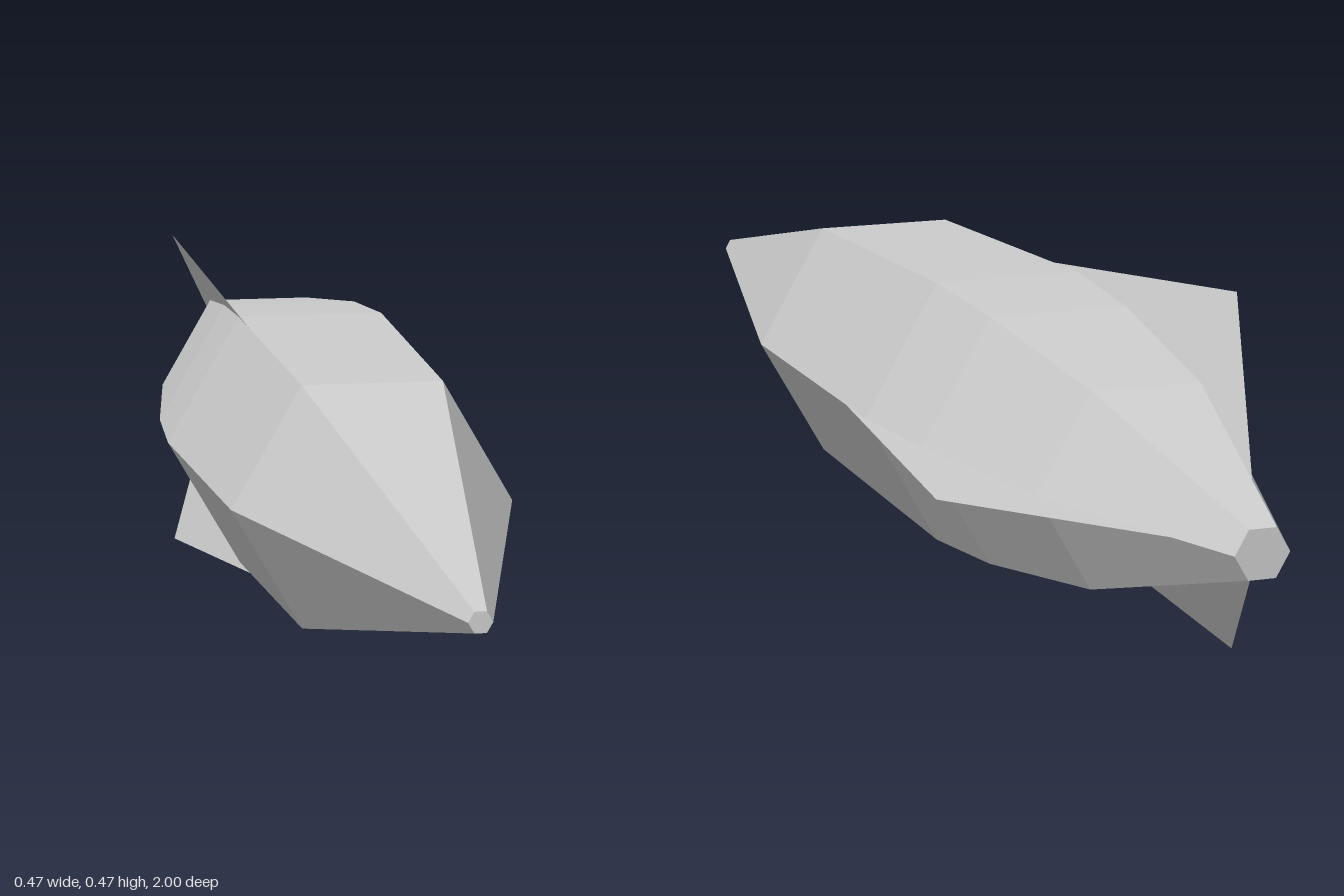
import * as THREE from 'three';

export function createModel() {
  const model = new THREE.Group();
  model.name = 'finnedDart';
  const AXIS_X = -0.034, AXIS_Y = 0.237;

  const hullGrey = new THREE.MeshStandardMaterial({ color: 0xcccccc, flatShading: true });
  hullGrey.name = 'hullGrey';
  const finGrey = new THREE.MeshStandardMaterial({ color: 0xcccccc, flatShading: true, side: THREE.DoubleSide });
  finGrey.name = 'finGrey';

  // Six-sided tapered hull, profile as [radius, z] from tail to nose, capped at both ends
  const profile = [
    [0, -1], [0.036, -1], [0.147, -0.65], [0.191, -0.36],
    [0.204, -0.18], [0.188, 0.305], [0.015, 1], [0, 1],
  ].map(([r, z]) => new THREE.Vector2(r, z));
  const hullGeometry = new THREE.LatheGeometry(profile, 6, Math.PI / 2);
  hullGeometry.rotateX(Math.PI / 2);
  const hull = new THREE.Mesh(hullGeometry, hullGrey);
  hull.name = 'hull';
  model.add(hull);

  // Three flat tail fins, rooted inside the hull along alternate hull edges
  const finShape = new THREE.Shape([
    new THREE.Vector2(0.14, 0.38),
    new THREE.Vector2(0.269, -0.622),
    new THREE.Vector2(0.02, -0.96),
    new THREE.Vector2(0.02, 0.38),
  ]);
  const finGeometry = new THREE.ShapeGeometry(finShape);
  finGeometry.rotateX(Math.PI / 2);
  ['leftFin', 'upperRightFin', 'lowerRightFin'].forEach((name, i) => {
    const fin = new THREE.Mesh(finGeometry, finGrey);
    fin.name = name;
    fin.rotation.z = (i * Math.PI * 2) / 3;
    model.add(fin);
  });

  // Place the long axis so the whole model is centred and rests on its lower fin
  model.children.forEach((part) => part.position.set(AXIS_X, AXIS_Y, 0));
  return model;
}
